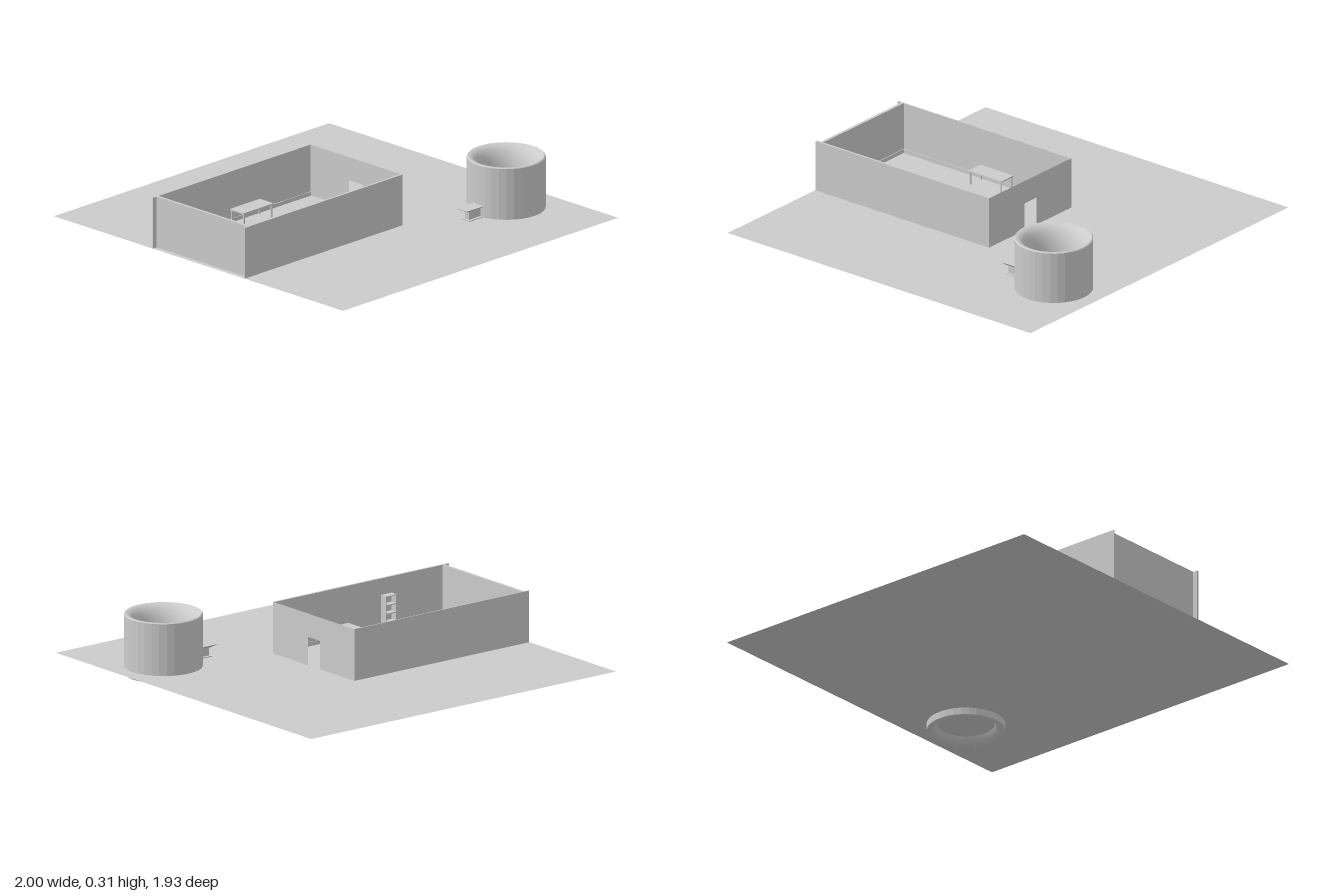
import * as THREE from 'three';

const GROUND = 0.04;
const WALL_TOP = 0.305;

const smoothGrey = new THREE.MeshStandardMaterial({ color: 0xcccccc, side: THREE.DoubleSide });
const flatGrey = new THREE.MeshStandardMaterial({ color: 0xcccccc, side: THREE.DoubleSide, flatShading: true });

function add(parent, name, geometry, material = flatGrey) {
  const mesh = new THREE.Mesh(geometry, material);
  mesh.name = name;
  parent.add(mesh);
  return mesh;
}

// Box given by its limits along each axis
function box(parent, name, [x0, x1], [y0, y1], [z0, z1]) {
  const mesh = add(parent, name, new THREE.BoxGeometry(x1 - x0, y1 - y0, z1 - z0));
  mesh.position.set((x0 + x1) / 2, (y0 + y1) / 2, (z0 + z1) / 2);
  return mesh;
}

function group(parent, name) {
  const g = new THREE.Group();
  g.name = name;
  parent.add(g);
  return g;
}

function buildRoom(model) {
  const room = group(model, 'room');
  const height = [GROUND, WALL_TOP];
  box(room, 'leftWall', [0.308, 0.32], height, [-0.142, 0.965]);
  box(room, 'rightWall', [-0.32, -0.315], height, [-0.142, 0.965]);
  box(room, 'frontWall', [-0.315, 0.308], height, [0.925, 0.94]);

  // Thin back wall with a doorway
  const wall = new THREE.Shape();
  wall.moveTo(-0.315, GROUND);
  wall.lineTo(-0.05, GROUND);
  wall.lineTo(-0.05, GROUND + 0.145);
  wall.lineTo(0.043, GROUND + 0.145);
  wall.lineTo(0.043, GROUND);
  wall.lineTo(0.308, GROUND);
  wall.lineTo(0.308, WALL_TOP);
  wall.lineTo(-0.315, WALL_TOP);
  wall.closePath();
  add(room, 'backWall', new THREE.ShapeGeometry(wall)).position.z = -0.142;

  // Skirting along the foot of the walls
  const skirt = [GROUND, GROUND + 0.02];
  box(room, 'leftSkirting', [0.304, 0.308], skirt, [-0.14, 0.925]);
  box(room, 'rightSkirting', [-0.315, -0.311], skirt, [-0.14, 0.925]);
  box(room, 'frontSkirting', [-0.311, 0.304], skirt, [0.921, 0.925]);
}

function buildFurniture(model) {
  // Table against the right wall
  const table = group(model, 'table');
  box(table, 'tableTop', [-0.31, -0.215], [0.107, 0.114], [0.22, 0.43]);
  for (const x of [-0.307, -0.224])
    for (const z of [0.225, 0.419])
      box(table, 'tableLeg', [x, x + 0.006], [GROUND, 0.107], [z, z + 0.006]);

  // Counter against the left wall
  const counter = group(model, 'counter');
  box(counter, 'counterBody', [0.097, 0.304], [GROUND, 0.108], [0.236, 0.319]);
  box(counter, 'counterTop', [0.09, 0.305], [0.108, 0.116], [0.23, 0.325]);

  // Tall open bookcase
  const bookcase = group(model, 'bookcase');
  const top = 0.222;
  for (const z of [0.53, 0.596])
    box(bookcase, 'bookcaseSide', [0.265, 0.304], [GROUND, top], [z, z + 0.004]);
  box(bookcase, 'bookcaseBack', [0.3, 0.304], [GROUND, top], [0.534, 0.596]);
  for (let i = 0; i <= 4; i++) {
    const y = GROUND + i * (top - GROUND - 0.005) / 4;
    box(bookcase, 'shelf', [0.265, 0.3], [y, y + 0.005], [0.534, 0.596]);
  }
}

function buildTower(model) {
  const tower = group(model, 'tower');
  tower.position.set(0.491, 0, -0.697);
  const R = 0.195, H = 0.31, bevel = 0.005;

  // Faceted outside with slightly rounded rims
  const outside = [[R - bevel, 0], [R, bevel], [R, H - bevel], [R - bevel, H]]
    .map(([r, y]) => new THREE.Vector2(r, y));
  add(tower, 'towerShell', new THREE.LatheGeometry(outside, 32), flatGrey);

  // Bulging throat, narrowest at mid height
  const throat = [];
  for (let i = 0; i <= 20; i++) {
    const a = Math.PI * (0.5 - i / 20);
    throat.push(new THREE.Vector2(R - bevel - 0.072 * Math.cos(a), H / 2 + H / 2 * Math.sin(a)));
  }
  add(tower, 'towerThroat', new THREE.LatheGeometry(throat, 48), smoothGrey);
}

function buildStand(model) {
  const stand = group(model, 'stand');
  box(stand, 'standFoot', [0.462, 0.52], [GROUND, GROUND + 0.004], [-0.505, -0.408]);
  box(stand, 'standStem', [0.477, 0.505], [GROUND, 0.088], [-0.505, -0.42]);

  // Top slab with an undercut edge
  const slab = box(stand, 'standTop', [0.453, 0.527], [0.087, 0.101], [-0.505, -0.383]);
  const p = slab.geometry.attributes.position;
  for (let i = 0; i < p.count; i++) {
    if (p.getY(i) > 0) continue;
    p.setX(i, p.getX(i) * 0.55);
    if (p.getZ(i) > 0) p.setZ(i, p.getZ(i) - 0.025);
  }
  slab.geometry.computeVertexNormals();
}

export function createModel() {
  const model = new THREE.Group();
  model.name = 'courtyardScene';

  // Flat ground sheet
  const ground = add(model, 'ground', new THREE.PlaneGeometry(2, 1.934));
  ground.rotation.x = -Math.PI / 2;
  ground.position.y = GROUND;

  buildRoom(model);
  buildFurniture(model);
  buildTower(model);
  buildStand(model);
  return model;
}
